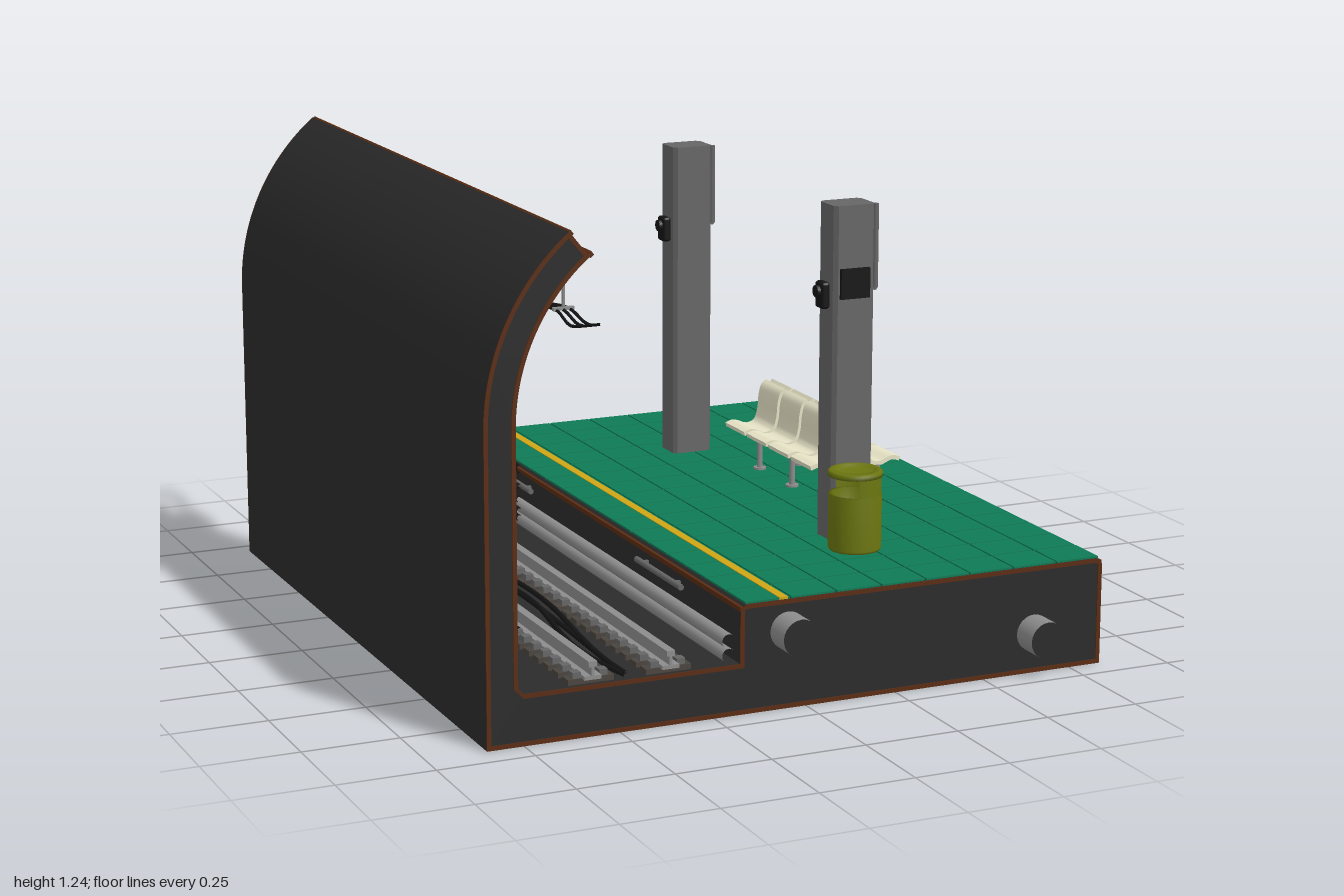
import * as THREE from 'three';
import { mergeGeometries, toCreasedNormals } from 'three/addons/utils/BufferGeometryUtils.js';
import { RoundedBoxGeometry } from 'three/addons/geometries/RoundedBoxGeometry.js';

const Z0 = -0.945, Z1 = 0.925, LEN = Z1 - Z0, ZC = (Z0 + Z1) / 2;
const mat = (color, side = THREE.FrontSide) => new THREE.MeshStandardMaterial({ color, side });
const M = {
  dark: mat(0x2b2b2b), black: mat(0x141414), brown: mat(0x5a2c12), green: mat(0x0f7a55),
  yellow: mat(0xd0a515), steel: mat(0x8c8c8c), column: mat(0x666666), cream: mat(0xe6e3c6),
  bin: mat(0x6c7610, THREE.DoubleSide), lamp: mat(0x18c048), sleeper: mat(0x4a443e), grey: mat(0xcccccc),
};
const V = (x, y, z) => new THREE.Vector3(x, y, z);
const box = (w, h, d, x, y, z) => new THREE.BoxGeometry(w, h, d).translate(x, y, z);
const tube = (pts, r, seg = 40) =>
  new THREE.TubeGeometry(new THREE.CatmullRomCurve3(pts.map(p => V(...p))), seg, r, 6);
const rod = (a, b, r, sides = 10, open = false) => {
  const d = V(...b).sub(V(...a)), g = new THREE.CylinderGeometry(r, r, d.length(), sides, 1, open);
  g.applyQuaternion(new THREE.Quaternion().setFromUnitVectors(V(0, 1, 0), d.clone().normalize()));
  return g.translate((a[0] + b[0]) / 2, (a[1] + b[1]) / 2, (a[2] + b[2]) / 2);
};
const extrude = (shape, depth, z) => toCreasedNormals(
  new THREE.ExtrudeGeometry(shape, { depth, bevelEnabled: false, curveSegments: 24 }).translate(0, 0, z), 0.5);

// Tunnel section, inset by d from its outer edge
function section(d, s = new THREE.Path()) {
  const cx = -0.254, cy = 0.78, end = THREE.MathUtils.degToRad(129 + d * 100);
  s.moveTo(-0.845 + d, d);
  s.lineTo(0.84 - d, d);
  s.lineTo(0.84 - d, 0.265);
  s.lineTo(0.825, 0.28 - d);
  s.lineTo(-0.165, 0.28 - d);
  s.lineTo(-0.18 + d, 0.265);
  s.lineTo(-0.18 + d, 0.13 - d);
  s.lineTo(-0.75, 0.13 - d);
  s.lineTo(-0.764 - d, 0.145);
  s.lineTo(-0.764 - d, cy);
  s.absarc(cx, cy, 0.51 + d, Math.PI, end, true);
  s.absarc(cx, cy, 0.591 - d, end, Math.PI, false);
  s.closePath();
  return s;
}

export function createModel() {
  const root = new THREE.Group();
  const add = (name, material, ...geos) => {
    const flat = geos.map(g => (g.index ? g.toNonIndexed() : g));
    const mesh = new THREE.Mesh(flat.length > 1 ? mergeGeometries(flat) : flat[0], material);
    mesh.name = name;
    root.add(mesh);
    return mesh;
  };

  // Tunnel shell with brown edge trim
  add('tunnelShell', M.dark, extrude(section(0, new THREE.Shape()), LEN, Z0));
  const rim = section(0, new THREE.Shape());
  rim.holes.push(section(0.011));
  const edge = (x, y, turn) => new THREE.BoxGeometry(0.012, 0.012, LEN).rotateZ(turn).translate(x, y, ZC);
  add('edgeTrim', M.brown, extrude(rim, 0.003, Z1), extrude(rim, 0.003, Z0 - 0.003),
    edge(0.835, 0.006, 0), edge(0.834, 0.268, 0), edge(-0.174, 0.268, 0),
    edge(-0.622, 1.234, 0.68), edge(-0.571, 1.181, 0.68));

  // Wall panel seams following the curve
  const seams = [];
  for (let i = 1; i < 8; i++) {
    const z = Z0 + LEN * i / 8, pts = [[-0.764, 0.14, z], [-0.764, 0.46, z]];
    for (let a = 180; a >= 130; a -= 10) {
      const t = THREE.MathUtils.degToRad(a);
      pts.push([-0.254 + 0.51 * Math.cos(t), 0.78 + 0.51 * Math.sin(t), z]);
    }
    seams.push(tube(pts, 0.004, 24));
  }
  add('wallSeams', M.black, ...seams);

  // Platform tiles and safety line
  const tiles = [], nx = 8, nz = 16, tw = 1 / nx, td = LEN / nz;
  for (let i = 0; i < nx; i++) for (let j = 0; j < nz; j++)
    tiles.push(box(tw - 0.005, 0.008, td - 0.005, -0.167 + tw * (i + 0.5), 0.281, Z0 + td * (j + 0.5)));
  add('platformTiles', M.green, ...tiles);
  add('safetyLine', M.yellow, box(0.023, 0.006, LEN, -0.062, 0.2835, ZC));

  // Open service pipes through the base
  for (const [x, y] of [[-0.05, 0.2], [0.645, 0.105]])
    add('servicePipe', M.steel, rod([x, y, -1], [x, y, 1], 0.048, 24, true));

  // Track: rails, plates and fastening blocks
  for (const x of [-0.57, -0.365]) {
    const blocks = [], plates = [];
    for (let i = 0; i < 30; i++) {
      const z = Z0 + LEN * (i + 0.5) / 30;
      plates.push(box(0.12, 0.014, 0.036, x, 0.137, z));
      for (const s of [-1, 1]) blocks.push(box(0.022, 0.016, 0.026, x + s * 0.035, 0.151, z));
    }
    add('sleeperPlates', M.sleeper, ...plates);
    add('railClips', M.column, ...blocks);
    add('rail', M.steel, box(0.045, 0.01, LEN, x, 0.147, ZC), box(0.008, 0.03, LEN, x, 0.163, ZC),
      box(0.022, 0.014, LEN, x, 0.181, ZC));
  }

  // Wavy lengthwise cable
  const cable = (x, y, ax, ay, f, p, r) => {
    const pts = [];
    for (let i = 0; i <= 24; i++) {
      const w = Math.sin(i / 24 * f * Math.PI * 2 + p);
      pts.push([x + ax * w, y + ay * w, Z0 + LEN * i / 24]);
    }
    return tube(pts, r, 60);
  };
  add('trackCables', M.black, cable(-0.485, 0.142, 0.025, 0, 2, 0, 0.007),
    cable(-0.46, 0.146, 0.026, 0, 1.5, 2, 0.007), cable(-0.475, 0.14, 0.012, 0, 1, 4, 0.007));

  // Wall cables and clamps
  const wires = [];
  for (let i = 0; i < 7; i++) wires.push(cable(-0.755, 0.565 + i * 0.02, 0, 0.006, 1 + i % 3 * 0.5, i * 0.5, 0.0075));
  add('wallCables', M.black, ...wires, cable(-0.758, 0.29, 0, 0.002, 2, 0, 0.006));
  for (const z of [0.63, -0.01, -0.63]) {
    const g = [box(0.01, 0.17, 0.018, -0.742, 0.63, z)];
    for (let i = 0; i < 5; i++) g.push(box(0.022, 0.014, 0.026, -0.75, 0.552 + i * 0.039, z));
    add('cableClamp', M.steel, ...g);
  }
  for (const z of [0.43, -0.38]) add('lowerClamp', M.steel, box(0.022, 0.05, 0.02, -0.752, 0.3, z));

  // Pipes on the platform face
  for (const y of [0.155, 0.192])
    add('platformPipe', M.steel, rod([-0.21, y, Z0], [-0.21, y, Z1], 0.018, 16, true));
  for (const z of [-0.54, 0.47])
    add('platformConduit', M.column, rod([-0.195, 0.24, z - 0.14], [-0.195, 0.24, z + 0.14], 0.008),
      ...[-0.1, 0.1].map(d => box(0.018, 0.012, 0.012, -0.188, 0.24, z + d)));

  // Overhead wire hangers and sagging wires
  const hangers = [0.735, 0.335, -0.06, -0.455, -0.76];
  for (const z of hangers)
    add('wireHanger', M.steel, box(0.05, 0.014, 0.035, -0.57, 1.178, z), rod([-0.563, 1.175, z], [-0.563, 1.01, z], 0.004, 6),
      box(0.055, 0.008, 0.01, -0.563, 1.015, z));
  const stops = [Z1, ...hangers, Z0];
  for (const dx of [-0.018, 0, 0.018]) {
    const pts = [];
    stops.forEach((z, i) => {
      pts.push([-0.563 + dx, 1.012, z]);
      if (i < stops.length - 1) pts.push([-0.563 + dx * 1.2, 0.994, (z + stops[i + 1]) / 2]);
    });
    add('overheadWire', M.black, tube(pts, 0.004, 80));
  }

  // Signal lamp on its bracket
  const sz = -0.745;
  add('signalCase', M.black, new RoundedBoxGeometry(0.108, 0.14, 0.06, 3, 0.018).translate(-0.669, 0.78, sz));
  add('signalLamp', M.lamp, new THREE.SphereGeometry(0.036, 24, 16).scale(1, 1, 0.5).translate(-0.669, 0.793, sz + 0.03));
  add('signalBracket', M.steel, rod([-0.77, 0.8, sz], [-0.715, 0.8, sz], 0.008), rod([-0.77, 0.765, sz], [-0.715, 0.765, sz], 0.008),
    tube([[-0.765, 0.876, sz], [-0.72, 0.876, sz], [-0.688, 0.874, sz], [-0.679, 0.86, sz], [-0.679, 0.84, sz]], 0.008));

  // Columns with chamfered corners, conduit and call box
  for (const z of [0.48, -0.51]) {
    const w = 0.058, d = 0.046, c = 0.01;
    const s = new THREE.Shape([[-w, -d + c], [-w + c, -d], [w - c, -d], [w, -d + c], [w, d - c], [w - c, d], [-w + c, d], [-w, d - c]]
      .map(p => new THREE.Vector2(...p)));
    add('column', M.column, new THREE.ExtrudeGeometry(s, { depth: 0.885, bevelEnabled: false })
      .rotateX(-Math.PI / 2).translate(0.328, 0.28, z));
    const bend = [[z - 0.005, 0.285], [z - 0.005, 0.945], [z + 0.035, 0.945], [z + 0.035, 1.163]].map(([q, y]) => [0.391, y, q]);
    add('columnConduit', M.column, ...[0, 1, 2].map(i => rod(bend[i], bend[i + 1], 0.008)),
      ...[0.4, 0.65, 0.88].map(y => box(0.016, 0.014, 0.03, 0.39, y, z - 0.005)));
    add('callBox', M.black, new RoundedBoxGeometry(0.024, 0.07, 0.045, 2, 0.008).translate(0.259, 0.93, z),
      rod([0.25, 0.94, z], [0.238, 0.94, z], 0.016, 14));
  }
  add('columnSign', M.black, box(0.082, 0.078, 0.012, 0.326, 0.963, 0.53));

  // Litter bin with side openings
  const bx = 0.296, bz = 0.605, R = 0.069;
  add('binBody', M.bin, new THREE.LatheGeometry([[0, 0.284], [0.066, 0.284], [R, 0.292], [R, 0.432], [0.06, 0.432], [0.06, 0.3], [0, 0.3]]
    .map(p => new THREE.Vector2(...p)), 32).translate(bx, 0, bz));
  const arc = (from, to) => new THREE.CylinderGeometry(R - 0.002, R - 0.002, 0.06, 16, 1, true,
    THREE.MathUtils.degToRad(from), THREE.MathUtils.degToRad(to - from)).translate(bx, 0.46, bz);
  add('binPosts', M.bin, arc(-18, 58), arc(122, 198));
  add('binLid', M.bin, new THREE.LatheGeometry([[0, 0.484], [0.048, 0.484], [0.05, 0.495], [0.066, 0.495], [0.071, 0.49], [0.071, 0.48], [0, 0.478]]
    .map(p => new THREE.Vector2(...p)), 32).translate(bx, 0, bz));

  // Back-to-back seats: side profile thickened along its normal, then extruded
  const line = new THREE.CatmullRomCurve3([[0.133, 0.405], [0.11, 0.411], [0.07, 0.398], [0.042, 0.408],
    [0.03, 0.44], [0.026, 0.48], [0.018, 0.508], [0.006, 0.518]].map(p => V(...p, 0)));
  const upper = [], lower = [];
  for (let i = 0; i <= 24; i++) {
    const p = line.getPoint(i / 24), t = line.getTangent(i / 24);
    upper.push(new THREE.Vector2(p.x - t.y * 0.006, p.y + t.x * 0.006));
    lower.unshift(new THREE.Vector2(p.x + t.y * 0.006, p.y - t.x * 0.006));
  }
  const seat = extrude(new THREE.Shape([...upper, ...lower]), 0.122, -0.061);
  const cx = 0.48;
  for (const z of [-0.223, -0.086, 0.051, 0.189]) {
    add('seatRight', M.cream, seat.clone().translate(cx, 0, z));
    add('seatLeft', M.cream, seat.clone().rotateY(Math.PI).translate(cx, 0, z));
  }
  for (const s of [-1, 1]) {
    const x = cx + s * 0.06;
    add('seatBeam', M.steel, box(0.024, 0.014, 0.54, x, 0.388, -0.015));
    for (const z of [0.2, -0.01, -0.215])
      add('seatLeg', M.steel, rod([x, 0.284, z], [x, 0.385, z], 0.008), rod([x, 0.284, z], [x, 0.291, z], 0.018, 14));
  }
  return root;
}
